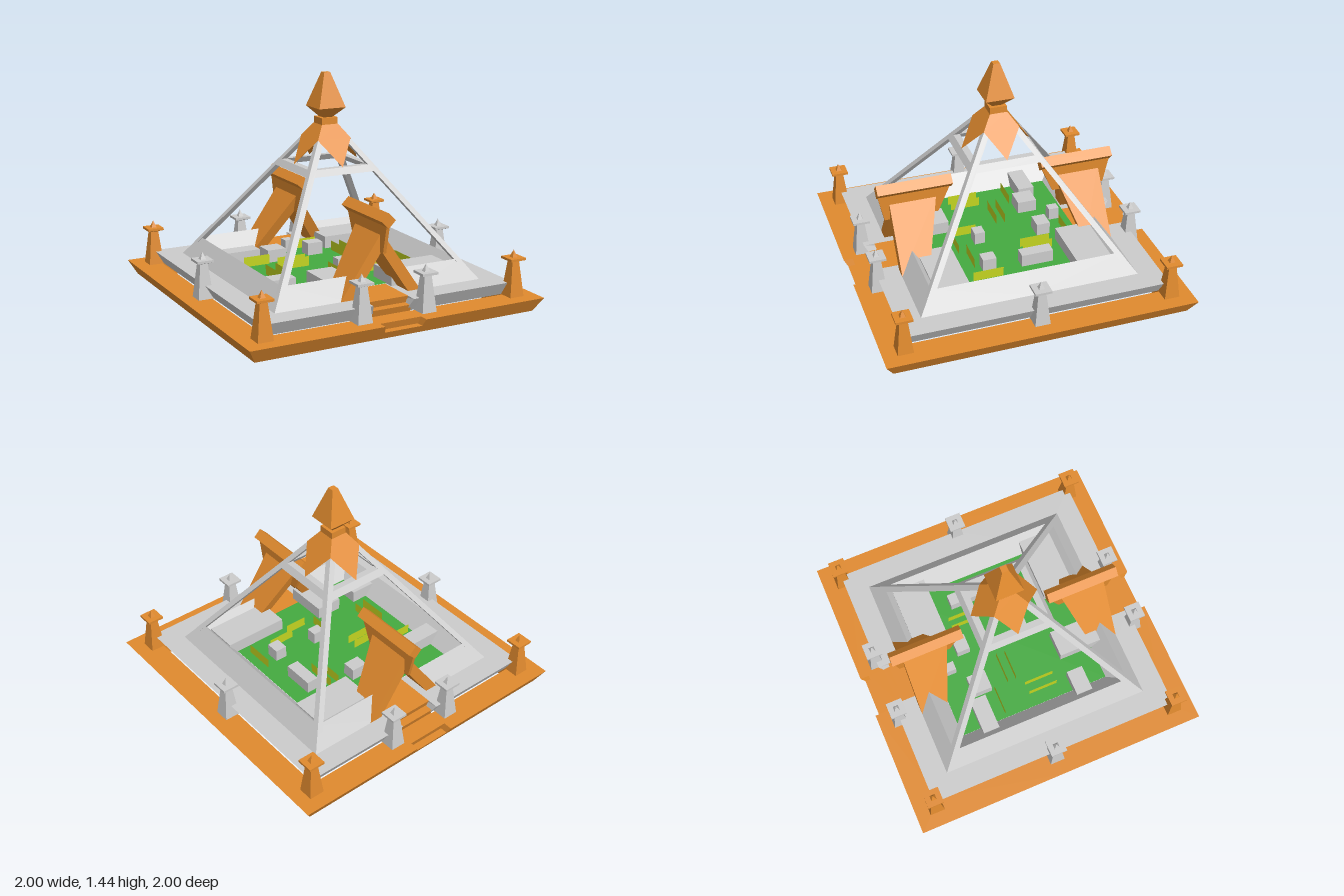
import * as THREE from 'three';

const mat = (color, side = THREE.FrontSide) =>
  new THREE.MeshStandardMaterial({ color, flatShading: true, side });
const GREY = mat(0xcccccc), ORANGE = mat(0xe08a2e), GREEN = mat(0x44aa40, THREE.DoubleSide),
  LIME = mat(0xc3d420, THREE.DoubleSide);

// slope shared by the outer wall, struts and cap: half width at height y
const half = (y) => 0.71 - (y - 0.175) / 1.43;

export function createModel() {
  const root = new THREE.Group();
  const add = (name, geo, material, parent = root) => {
    const m = new THREE.Mesh(geo, material);
    m.name = name;
    parent.add(m);
    return m;
  };
  const fromTriangles = (pos) => {
    const g = new THREE.BufferGeometry();
    g.setAttribute('position', new THREE.Float32BufferAttribute(pos.flat(), 3));
    g.computeVertexNormals();
    return g;
  };

  // square tower from [half width, y] rows, bottom to top
  const squareLoft = (rows) => new THREE.LatheGeometry(
    rows.map(([h, y]) => new THREE.Vector2(h * Math.SQRT2, y)), 4, Math.PI / 4);

  // mitred square frame from a counter-clockwise [half, y] profile;
  // gap(y) opens the middle of the front and back sides
  const squareFrame = (profile, gap) => {
    const out = [];
    for (let side = 0; side < 4; side++) {
      const open = gap && side % 2 === 0;
      const g = open ? gap : () => 0;
      const c = Math.round(Math.cos(side * Math.PI / 2)), s = Math.round(Math.sin(side * Math.PI / 2));
      for (const m of [1, -1]) {
        const tri = (...t) => (m > 0 ? t : t.reverse()).forEach(([x, y, z]) =>
          out.push([m * x * c + z * s, y, -m * x * s + z * c]));
        const inner = profile.map(([h, y]) => [g(y), y, h]);
        const outer = profile.map(([h, y]) => [h, y, h]);
        profile.forEach((_, i) => {
          const j = (i + 1) % profile.length;
          tri(inner[i], outer[i], outer[j]);
          tri(inner[i], outer[j], inner[j]);
          if (open && i > 0 && j > 0) tri(inner[0], inner[i], inner[j]);
        });
      }
    }
    return fromTriangles(out);
  };

  // [z, y] outline extruded across x
  const extrudeX = (pts, width) => {
    const shape = new THREE.Shape(pts.map(([z, y]) => new THREE.Vector2(z, y)));
    return new THREE.ExtrudeGeometry(shape, { depth: width, bevelEnabled: false })
      .translate(0, 0, -width / 2).rotateY(-Math.PI / 2);
  };

  // plinth, deck and sloping wall
  add('plinth', squareFrame([[0.82, 0], [0.95, 0], [1, 0.09], [0.82, 0.09]],
    (y) => (y > 0.05 ? 0.14 : 0.115)), ORANGE);
  add('deck', squareFrame([[0.78, 0.16], [0.78, 0.09], [0.81, 0.09], [0.86, 0.175], [0.52, 0.175], [0.52, 0.16]],
    (y) => (y > 0.1 ? 0.14 : 0.115)), GREY);
  add('wall', squareFrame([[0.52, 0.175], [0.71, 0.175], [0.62, 0.3]],
    (y) => 0.235 - (y - 0.175) / 1.43), GREY);
  add('lawn', new THREE.PlaneGeometry(1.04, 1.04).rotateX(-Math.PI / 2).translate(0, 0.178, 0), GREEN);

  // the two entrances, front and back
  for (const turn of [0, Math.PI]) {
    const gate = new THREE.Group();
    gate.name = turn ? 'backGate' : 'frontGate';
    gate.rotation.y = turn;
    root.add(gate);

    add('steps', extrudeX([[0.82, 0], [0.95, 0], [0.975, 0.045], [0.925, 0.045], [0.94, 0.09], [0.815, 0.09],
      [0.83, 0.132], [0.775, 0.132], [0.79, 0.176], [0.52, 0.176], [0.52, 0.157], [0.76, 0.157], [0.76, 0.05],
      [0.82, 0.05]], 0.28), ORANGE, gate);

    const floor = new THREE.Shape([[-0.5, 0.51], [0.5, 0.51], [0.25, 0.62], [-0.25, 0.62]]
      .map(([x, z]) => new THREE.Vector2(x, z)));
    add('gateFloor', new THREE.ShapeGeometry(floor).rotateX(Math.PI / 2).translate(0, 0.156, 0), ORANGE, gate);

    // leaning legs: an inverted V whose inner end slants back
    const vee = new THREE.Shape([[-0.276, 0.175], [-0.19, 0.175], [0, 0.45], [0.19, 0.175], [0.276, 0.175], [0, 0.57]]
      .map(([x, y]) => new THREE.Vector2(x, y)));
    const legs = new THREE.ExtrudeGeometry(vee, { depth: 1, bevelEnabled: false });
    const p = legs.attributes.position;
    for (let i = 0; i < p.count; i++)
      p.setZ(i, p.getZ(i) > 0.5 ? 0.71 : 0.53 - (p.getY(i) - 0.175) * 0.33);
    legs.computeVertexNormals();
    add('gateLegs', legs, ORANGE, gate);

    add('gateFin', extrudeX([[0.745, 0.445], [0.785, 0.625], [0.31, 0.625], [0.39, 0.445]], 0.022), ORANGE, gate);
    add('ridgeBeam', new THREE.CylinderGeometry(0.048, 0.048, 0.49, 4)
      .rotateX(Math.PI / 2).translate(0, 0.655, 0.545), ORANGE, gate);
  }

  // four corner struts
  const w = 0.042, y0 = 0.26, y1 = 1.11;
  const section = (y) => {
    const h = half(y);
    return [[h, y, h], [h, y, h - w], [h - w, y, h - w], [h - w, y, h]];
  };
  const a = section(y0), b = section(y1), strut = [];
  for (let i = 0; i < 4; i++) {
    const j = (i + 1) % 4;
    strut.push(a[i], a[j], b[j], a[i], b[j], b[i]);
  }
  const strutGeo = fromTriangles(strut);
  for (let i = 0; i < 4; i++) add('strut', strutGeo, GREY).rotation.y = i * Math.PI / 2;
  add('tieFrame', squareFrame([[half(0.83) - w, 0.83], [half(0.83), 0.83], [half(0.87), 0.87], [half(0.87) - w, 0.87]]), GREY);

  // pointed cap plates over the strut tops
  const e = 0.004, yc = 1.03, t = half(1.115) + e, c = half(yc) + e;
  const tl = [-t, 1.115, t], tr = [t, 1.115, t], cl = [-c, yc, c], cr = [c, yc, c],
    tip = [0, 0.87, half(0.87) + e], core = [0, 1.04, 0];
  const plate = fromTriangles([cl, cr, tr, cl, tr, tl, cl, tip, cr, core, tip, cl, core, cr, tip]);
  for (let i = 0; i < 4; i++) add('capPlate', plate, ORANGE).rotation.y = i * Math.PI / 2;
  add('neck', squareLoft([[0, 1.11], [0.055, 1.11], [0.055, 1.157], [0, 1.157]]), ORANGE);
  add('finial', squareLoft([[0.03, 1.155], [0.093, 1.222], [0.021, 1.44], [0, 1.44]]), ORANGE);

  // lantern posts around the rim
  const post = squareLoft([[0.05, 0.088], [0.025, 0.312], [0.054, 0.323], [0.054, 0.338], [0.018, 0.338], [0, 0.385]]);
  for (const sx of [-1, 1]) {
    for (const sz of [-1, 1]) {
      add('cornerPost', post, ORANGE).position.set(sx * 0.86, 0, sz * 0.86);
      add('gatePost', post, GREY).position.set(sx * 0.22, 0, sz * 0.86);
    }
    add('sidePost', post, GREY).position.set(sx * 0.86, 0, 0);
  }

  // garden blocks: x from, x to, z from, z to
  const blocks = [[-0.58, -0.34, -0.39, -0.28], [-0.31, -0.18, -0.35, -0.22], [0.18, 0.58, -0.58, -0.35],
    [0.33, 0.41, -0.25, -0.04], [0.30, 0.38, 0.12, 0.21], [-0.58, -0.41, 0.28, 0.39],
    [-0.29, -0.11, 0.29, 0.58], [0.15, 0.58, 0.36, 0.58], [0, 0.11, -0.34, -0.25],
    [-0.1, -0.04, -0.46, -0.39], [0, 0.08, 0.1, 0.17]];
  for (const [xa, xb, za, zb] of blocks)
    add('gardenBlock', new THREE.BoxGeometry(xb - xa, 0.085, zb - za)
      .translate((xa + xb) / 2, 0.2175, (za + zb) / 2), GREY);

  // thin upright hedge panels: centre x, centre z, length, runs along z
  const hedges = [[0.08, 0.3, 0.15, 0], [-0.05, 0.2, 0.15, 1], [-0.43, 0.1, 0.2, 1], [-0.36, 0.1, 0.2, 1],
    [-0.2, -0.1, 0.2, 0], [-0.2, -0.04, 0.2, 0], [0.2, -0.2, 0.2, 1], [0.26, -0.2, 0.2, 1],
    [0.08, -0.44, 0.14, 0], [-0.4, -0.2, 0.18, 0], [0.46, 0.2, 0.2, 1], [0.24, 0.25, 0.18, 0]];
  for (const [x, z, len, along] of hedges) {
    const hedge = add('hedgePanel', new THREE.PlaneGeometry(len, 0.065), LIME);
    hedge.position.set(x, 0.2105, z);
    hedge.rotation.y = along * Math.PI / 2;
  }
  return root;
}
